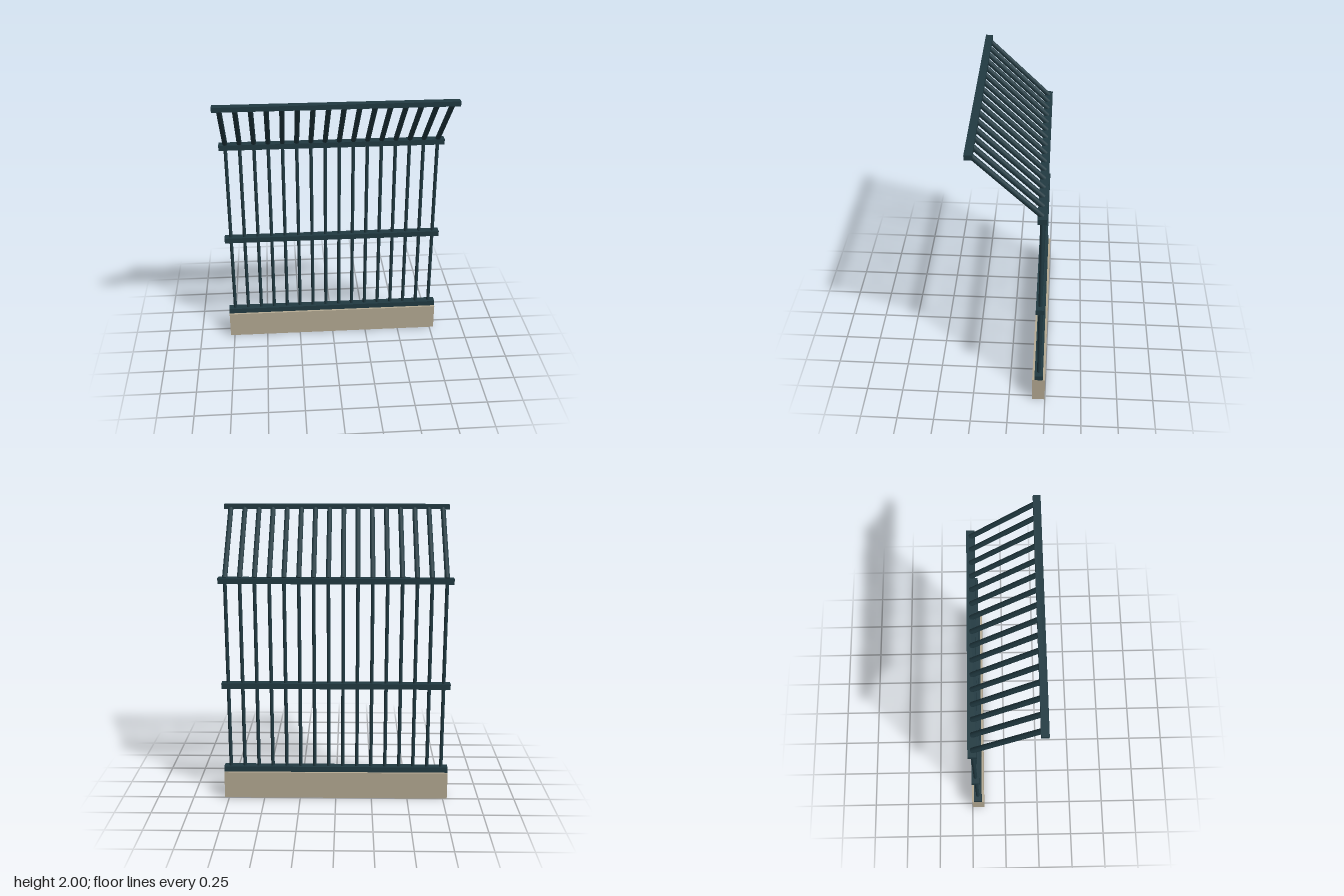
import * as THREE from 'three';

export function createModel() {
  const model = new THREE.Group();
  model.name = 'securityFence';
  const paint = new THREE.MeshStandardMaterial({ color: 0x213a42 });
  paint.name = 'darkTealPaint';
  const stone = new THREE.MeshStandardMaterial({ color: 0xb5aa93 });
  stone.name = 'stone';

  const WIDTH = 1.56;
  const Z = -0.204; // plane of the upright fence
  const BARS = 16;
  const SPACING = 0.098;

  function beam(name, material, y0, y1, z, depth) {
    const mesh = new THREE.Mesh(new THREE.BoxGeometry(WIDTH, y1 - y0, depth), material);
    mesh.position.set(0, (y0 + y1) / 2, z);
    mesh.name = name;
    model.add(mesh);
  }

  // Round bar between two points
  function bar(name, from, to, radius) {
    const along = to.clone().sub(from);
    const geometry = new THREE.CylinderGeometry(radius, radius, along.length(), 10);
    const mesh = new THREE.Mesh(geometry, paint);
    mesh.position.copy(from).add(to).multiplyScalar(0.5);
    mesh.quaternion.setFromUnitVectors(new THREE.Vector3(0, 1, 0), along.normalize());
    mesh.name = name;
    model.add(mesh);
  }

  // Plinth and horizontal rails
  beam('plinth', stone, 0, 0.19, Z, 0.088);
  beam('bottomRail', paint, 0.19, 0.228, Z, 0.057);
  beam('middleRail', paint, 0.8, 0.838, Z, 0.057);
  beam('upperRail', paint, 1.527, 1.565, Z, 0.057);
  beam('overhangRail', paint, 1.968, 2, 0.224, 0.048);

  // Upright bars, each with a slanted bar leaning forward above it
  for (let i = 0; i < BARS; i++) {
    const x = (i - (BARS - 1) / 2) * SPACING;
    bar('uprightBar', new THREE.Vector3(x, 0.2, Z), new THREE.Vector3(x, 1.55, Z), 0.0125);
    bar('slantedBar', new THREE.Vector3(x, 1.56, Z), new THREE.Vector3(x, 1.982, 0.224), 0.0175);
  }
  return model;
}
